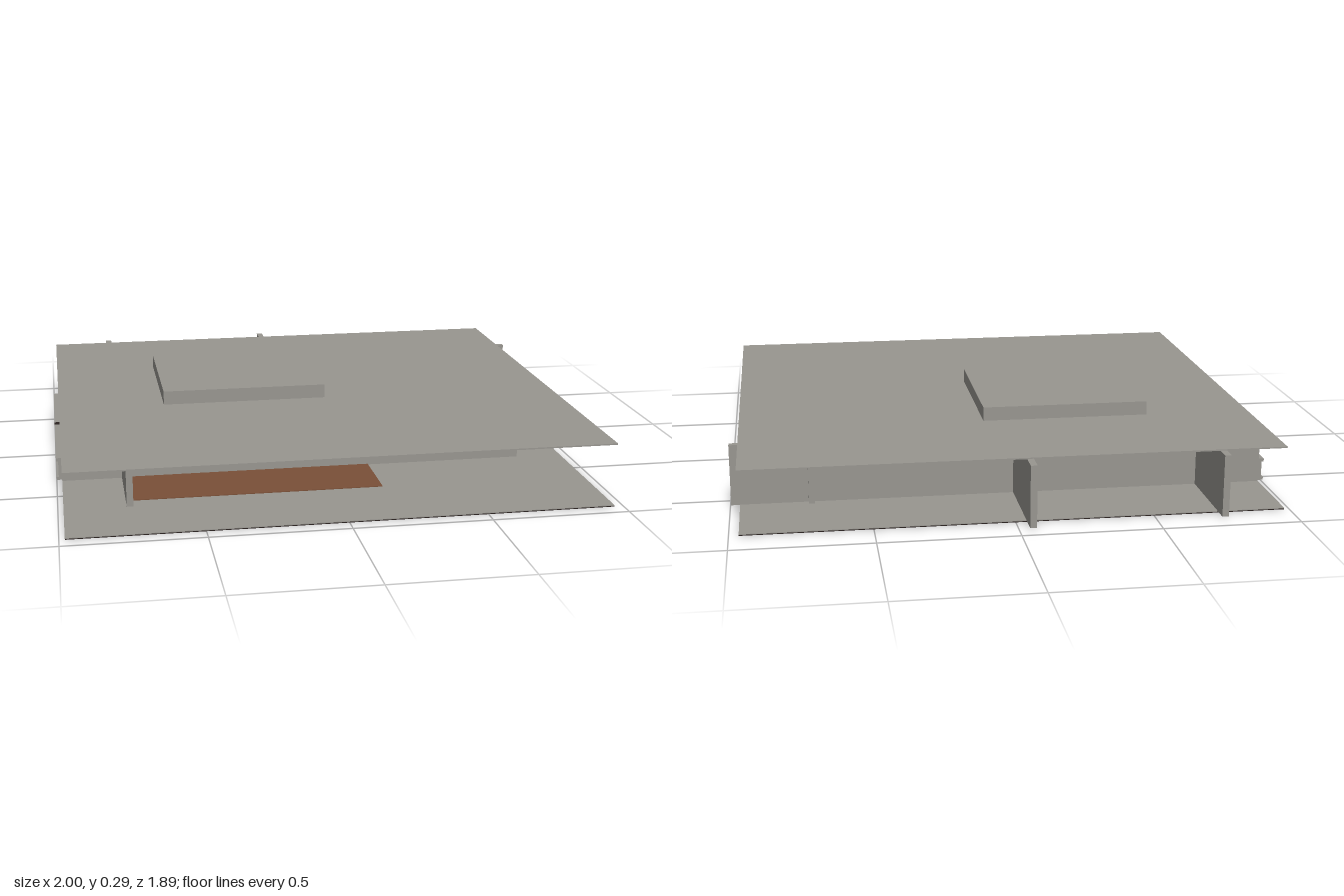
import * as THREE from 'three';

export function createModel() {
  const model = new THREE.Group();
  const mat = (name, color) => {
    const m = new THREE.MeshStandardMaterial({ color });
    m.name = name;
    return m;
  };
  const concrete = mat('concrete', 0x989690);
  const dark = mat('darkBrown', 0x2b2220);
  const wood = mat('wood', 0x7a5038);

  // Box given by its limits on each axis
  const block = (name, material, [x0, x1], [y0, y1], [z0, z1], parent = model) => {
    const mesh = new THREE.Mesh(new THREE.BoxGeometry(x1 - x0, y1 - y0, z1 - z0), material);
    mesh.position.set((x0 + x1) / 2, (y0 + y1) / 2, (z0 + z1) / 2);
    mesh.name = name;
    parent.add(mesh);
    return mesh;
  };

  // Floor: dark underside, concrete top, wooden inlay showing on both sides
  const slabX = [-0.98, 0.965], slabZ = [-0.87, 0.945];
  block('floorBase', dark, slabX, [0.001, 0.004], slabZ);
  block('floorTop', concrete, slabX, [0.004, 0.007], slabZ);
  block('woodFloor', wood, [-0.74, 0.19], [0, 0.01], [-0.53, 0.61]);

  // Flat roof with a raised block
  block('roof', concrete, slabX, [0.233, 0.238], slabZ);
  block('roofBlock', concrete, [-0.58, 0.05], [0.238, 0.29], [-0.4, 0.18]);

  // Walls: limits in x, then in z
  const wallY = [0.006, 0.234];
  const walls = {
    backWall: [[-0.98, 0.997], [-0.567, -0.543]],
    frontWall: [[-0.98, 0.79], [0.323, 0.347]],
    leftWall: [[0.695, 0.717], [-0.59, 0.33]],
    backFinRight: [[-0.757, -0.733], [-0.927, -0.44]],
    frontFinRight: [[-0.757, -0.733], [0.22, 0.67]],
    backFinMiddle: [[-0.062, -0.038], [-0.947, -0.44]],
  };
  for (const [name, [x, z]] of Object.entries(walls)) block(name, concrete, x, wallY, z);

  // Dark fittings in the middle of the front and left walls
  const w = 0.027, h = 0.055, r = 0.012;
  const shape = new THREE.Shape();
  shape.moveTo(-w + r, -h).lineTo(w - r, -h).quadraticCurveTo(w, -h, w, -h + r);
  shape.lineTo(w, h - r).quadraticCurveTo(w, h, w - r, h).lineTo(-w + r, h);
  shape.quadraticCurveTo(-w, h, -w, h - r).lineTo(-w, -h + r).quadraticCurveTo(-w, -h, -w + r, -h);
  const panel = new THREE.Mesh(new THREE.ExtrudeGeometry(shape, { depth: 0.012, bevelEnabled: false }), dark);
  panel.name = 'frontFitting';
  panel.position.set(-0.122, 0.177, 0.346);
  model.add(panel);
  block('leftFitting', dark, [0.716, 0.728], [0.13, 0.23], [-0.135, -0.11]);

  // Railing along the open right side
  const railing = new THREE.Group();
  railing.name = 'railing';
  model.add(railing);
  const railZ = [-0.565, 0.34];
  block('topRail', concrete, [-1, -0.98], [0.083, 0.095], railZ, railing);
  block('bottomRail', concrete, [-1, -0.98], [0.01, 0.022], railZ, railing);
  const count = 19;
  for (let i = 0; i < count; i++) {
    const z = -0.559 + (0.893 * i) / (count - 1);
    block('baluster', concrete, [-0.992, -0.98], [0.022, 0.083], [z - 0.006, z + 0.006], railing);
  }
  block('railClasp', dark, [-1, -0.979], [0.083, 0.098], [-0.123, -0.1], railing);

  return model;
}
